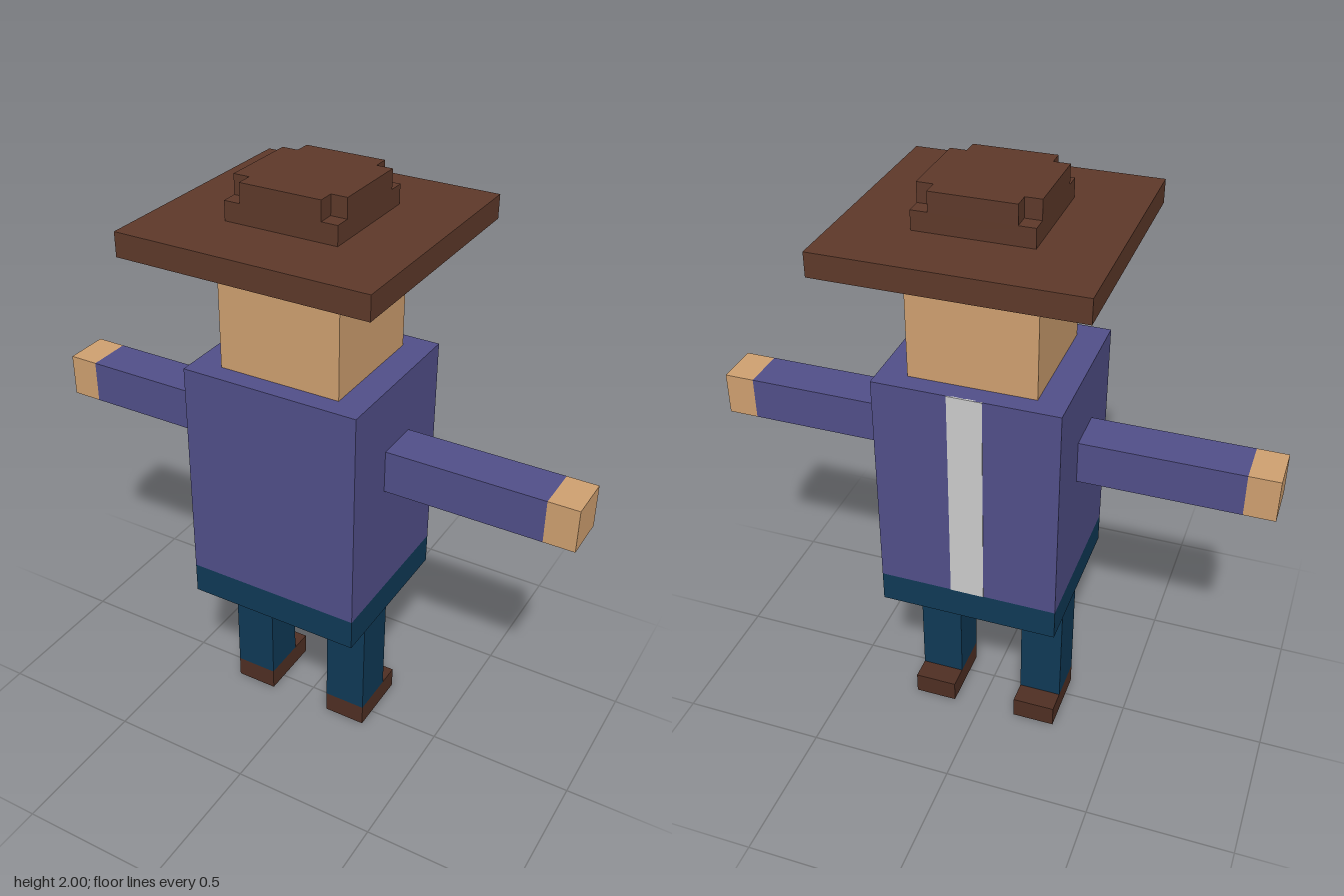
import * as THREE from 'three';

const paint = (color) => new THREE.MeshStandardMaterial({ color, flatShading: true });

export function createModel() {
  const model = new THREE.Group();
  const skin = paint(0xcfa070), shirt = paint(0x514f89), trousers = paint(0x0f3956);
  const felt = paint(0x5e392a), leather = paint(0x4f2f23), grey = paint(0xcccccc);

  // Box given by its lowest and highest corner
  function box(name, material, [x0, y0, z0], [x1, y1, z1], parent = model) {
    const mesh = new THREE.Mesh(new THREE.BoxGeometry(x1 - x0, y1 - y0, z1 - z0), material);
    mesh.position.set((x0 + x1) / 2, (y0 + y1) / 2, (z0 + z1) / 2);
    mesh.name = name;
    parent.add(mesh);
    return mesh;
  }

  // Torso with waistband and a stripe down the back
  box('torso', shirt, [-0.303, 0.642, -0.275], [0.303, 1.4, 0.275]);
  box('waistband', trousers, [-0.303, 0.536, -0.275], [0.303, 0.642, 0.275]);
  box('backStripe', grey, [-0.057, 0.642, -0.277], [0.057, 1.4, -0.27]);

  // Head
  box('head', skin, [-0.208, 1.4, -0.208], [0.208, 1.797, 0.208]);

  // Hat: flat brim, square crown, top with notched corners
  const hat = new THREE.Group();
  hat.name = 'hat';
  model.add(hat);
  box('brim', felt, [-0.413, 1.797, -0.413], [0.413, 1.875, 0.413], hat);
  box('crown', felt, [-0.187, 1.875, -0.187], [0.187, 1.937, 0.187], hat);
  const a = 0.187, b = 0.134;
  const cross = new THREE.Shape([
    [a, -b], [a, b], [b, b], [b, a], [-b, a], [-b, b],
    [-a, b], [-a, -b], [-b, -b], [-b, -a], [b, -a], [b, -b],
  ].map(([x, y]) => new THREE.Vector2(x, y)));
  const crownTop = new THREE.Mesh(
    new THREE.ExtrudeGeometry(cross, { depth: 0.063, bevelEnabled: false }), felt);
  crownTop.rotation.x = -Math.PI / 2;
  crownTop.position.y = 1.937;
  crownTop.name = 'crownTop';
  hat.add(crownTop);

  // Arms held straight out, legs with feet
  for (const [side, s, legX] of [['left', 1, 0.172], ['right', -1, -0.204]]) {
    const span = (inner, outer) => [Math.min(s * inner, s * outer), Math.max(s * inner, s * outer)];
    const [s0, s1] = span(0.303, 0.833);
    box(side + 'Sleeve', shirt, [s0, 1.037, -0.078], [s1, 1.183, 0.078]);
    const [h0, h1] = span(0.833, 0.935);
    box(side + 'Hand', skin, [h0, 1.037, -0.078], [h1, 1.183, 0.078]);

    box(side + 'Leg', trousers, [legX - 0.074, 0.076, -0.084], [legX + 0.074, 0.536, 0.073]);
    box(side + 'Foot', leather, [legX - 0.074, 0, -0.162], [legX + 0.074, 0.076, 0.073]);
  }
  return model;
}
